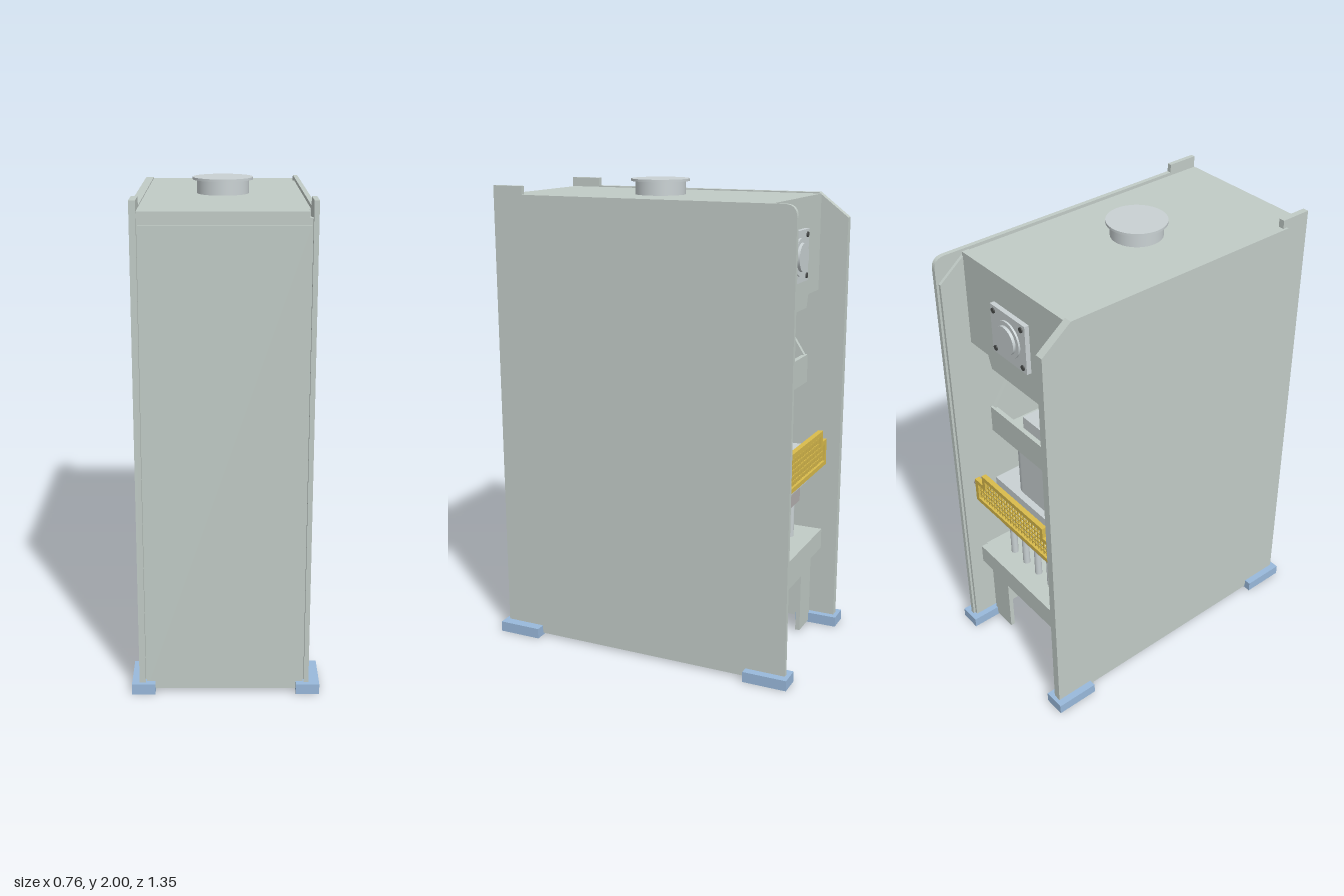
import * as THREE from 'three';

const mat = (color) => new THREE.MeshStandardMaterial({ color, side: THREE.DoubleSide });

export function createModel() {
  const press = new THREE.Group();
  press.name = 'stampingPress';
  const body = mat(0xc1cbc6), light = mat(0xc9d1d3), steel = mat(0xb4b0b0);
  const blue = mat(0x99b9db), yellow = mat(0xd9bb4c), dark = mat(0x4a4d4c);

  const add = (name, geo, m, x = 0, y = 0, z = 0) => {
    const mesh = new THREE.Mesh(geo, m);
    mesh.name = name;
    mesh.position.set(x, y, z);
    press.add(mesh);
    return mesh;
  };
  const box = (name, m, x0, x1, y0, y1, z0, z1) =>
    add(name, new THREE.BoxGeometry(x1 - x0, y1 - y0, z1 - z0), m, (x0 + x1) / 2, (y0 + y1) / 2, (z0 + z1) / 2);
  const cyl = (name, m, rTop, rBottom, y0, y1, x, z, n = 40) =>
    add(name, new THREE.CylinderGeometry(rTop, rBottom, y1 - y0, n), m, x, (y0 + y1) / 2, z);
  const outline = (pts) => new THREE.Shape(pts.map(([a, b]) => new THREE.Vector2(a, b)));
  const extrude = (shape, depth) => new THREE.ExtrudeGeometry(shape, { depth, bevelEnabled: false, curveSegments: 12 });
  // Sheet with a (z, y) outline, between two x positions
  const sideSheet = (name, m, shape, x0, x1) => add(name, extrude(shape, x1 - x0).rotateY(-Math.PI / 2), m, x1);

  // Left side plate with rounded rear corner and raised front tab
  const roundPlate = new THREE.Shape();
  roundPlate.moveTo(-0.66, 0.01);
  roundPlate.lineTo(0.655, 0.01);
  roundPlate.lineTo(0.655, 1.975);
  roundPlate.lineTo(0.52, 1.975);
  roundPlate.lineTo(0.52, 1.94);
  roundPlate.lineTo(-0.61, 1.94);
  roundPlate.quadraticCurveTo(-0.66, 1.94, -0.66, 1.89);
  sideSheet('leftSidePlate', body, roundPlate, 0.318, 0.337);
  const chamfered = (z1) => outline([[-0.65, 0.01], [z1, 0.01], [z1, 1.925], [-0.53, 1.925], [-0.65, 1.83]]);
  sideSheet('leftInnerPlate', body, chamfered(0.5), 0.305, 0.318);

  // Right side plate with chamfered rear corner and raised edging
  sideSheet('rightSidePlate', body, outline([[-0.66, 0.01], [0.655, 0.01], [0.655, 1.975], [0.52, 1.975],
    [0.52, 1.94], [-0.53, 1.94], [-0.66, 1.84]]), -0.345, -0.32);
  sideSheet('rightSideEdging', body, outline([[-0.66, 0.01], [-0.47, 0.01], [-0.47, 1.82], [0.54, 1.82],
    [0.54, 1.94], [-0.53, 1.94], [-0.66, 1.84]]), -0.354, -0.345);

  // Enclosure: front cover, trim, roof, corner posts
  box('frontCover', body, -0.315, 0.313, 0.012, 1.885, 0.625, 0.645);
  box('frontTrim', body, -0.32, 0.318, 1.885, 1.91, 0.61, 0.63);
  box('roof', body, -0.32, 0.305, 1.91, 1.935, -0.51, 0.645);
  for (const s of [-1, 1]) box('cornerPost', body, s * 0.314 - 0.012, s * 0.314 + 0.012, 0.012, 1.9, 0.51, 0.63);

  // Roof vent
  cyl('ventNeck', light, 0.105, 0.105, 1.93, 1.99, -0.007, 0.058);
  cyl('ventCap', light, 0.122, 0.122, 1.99, 2, -0.007, 0.058);

  // Blue feet: x and z centres
  for (const [x, z] of [[0.325, -0.583], [-0.338, -0.583], [0.333, 0.577], [-0.328, 0.577]])
    box('footPad', blue, x - 0.047, x + 0.047, 0, 0.045, z - 0.095, z + 0.095);

  // Head panel with stepped lower edge
  add('headPanel', extrude(outline([[-0.32, 1.53], [-0.185, 1.53], [-0.165, 1.475], [0.165, 1.475], [0.185, 1.53],
    [0.31, 1.53], [0.31, 1.935], [-0.32, 1.935]]), 0.03), body, 0, 0, -0.54);

  // Bearing flange with boss and bolts on the head panel
  box('bearingFlange', light, -0.11, 0.11, 1.6, 1.81, -0.56, -0.54);
  const boss = (name, m, r, z0, z1, x = 0, y = 1.705) =>
    add(name, new THREE.CylinderGeometry(r, r, z1 - z0, 32).rotateX(Math.PI / 2), m, x, y, (z0 + z1) / 2);
  boss('bearingRing', light, 0.076, -0.568, -0.56);
  boss('bearingBoss', light, 0.058, -0.58, -0.56);
  for (const sx of [-1, 1]) for (const sy of [-1, 1])
    boss('flangeBolt', dark, 0.011, -0.565, -0.56, sx * 0.088, 1.705 + sy * 0.083);

  // Slide: tray with sloping cheeks, ram body and hanging rod
  box('slideFront', body, -0.2, 0.2, 1.16, 1.27, -0.54, -0.52);
  box('slideBase', body, -0.2, 0.2, 1.15, 1.17, -0.54, -0.16);
  for (const x of [-0.2, 0.18])
    sideSheet('slideCheek', body, outline([[-0.53, 1.16], [-0.16, 1.16], [-0.16, 1.47], [-0.4, 1.47], [-0.53, 1.27]]), x, x + 0.02);
  box('slideBlock', light, -0.06, 0.06, 1.17, 1.27, -0.48, -0.38);
  const ram = new THREE.Shape();
  ram.absarc(0.08, 0.08, 0.06, 0, Math.PI / 2);
  ram.absarc(-0.08, 0.08, 0.06, Math.PI / 2, Math.PI);
  ram.absarc(-0.08, -0.08, 0.06, Math.PI, Math.PI * 1.5);
  ram.absarc(0.08, -0.08, 0.06, Math.PI * 1.5, Math.PI * 2);
  add('ram', extrude(ram, 0.3).rotateX(-Math.PI / 2), light, 0, 0.86, -0.35);
  cyl('connectingRod', yellow, 0.06, 0.06, 1.36, 1.7, -0.02, -0.3);
  cyl('connectingRodTip', yellow, 0.06, 0.045, 1.17, 1.36, -0.02, -0.3);
  box('slideGuide', body, 0.24, 0.305, 0.9, 1.9, -0.2, -0.1);
  box('slideGuide', body, -0.32, -0.24, 0.9, 1.9, -0.2, -0.1);

  // Die set: stacked plates standing on pins
  box('upperDiePlate', light, -0.24, 0.24, 0.82, 0.86, -0.52, -0.16);
  box('dieBlock', steel, -0.18, 0.18, 0.72, 0.82, -0.47, -0.2);
  box('lowerDiePlate', light, -0.24, 0.24, 0.69, 0.72, -0.54, -0.15);
  box('dieShoe', steel, -0.21, 0.21, 0.61, 0.69, -0.52, -0.16);
  for (let i = 0; i < 5; i++) for (const z of [-0.49, -0.19])
    cyl('diePin', light, 0.016, 0.016, 0.45, 0.61, -0.18 + i * 0.09, z, 16);

  // Work table with drop hole, front beam and arched legs
  const table = outline([[-0.32, -0.08], [0.305, -0.08], [0.305, 0.56], [-0.32, 0.56]]);
  const hole = new THREE.Path();
  hole.absarc(0, 0.1, 0.07, 0, Math.PI * 2, true);
  table.holes.push(hole);
  add('workTable', extrude(table, 0.08).rotateX(-Math.PI / 2), body, 0, 0.37, 0);
  box('tableBeam', body, -0.325, 0.3, 0.36, 0.45, -0.59, -0.56);
  add('tableLegs', extrude(outline([[-0.3, 0.01], [-0.17, 0.01], [-0.17, 0.27], [0.17, 0.27], [0.17, 0.01], [0.29, 0.01],
    [0.29, 0.37], [-0.3, 0.37]]), 0.02), body, 0, 0, -0.55);

  // Yellow safety guard: stepped frame with slats
  const guardPts = (d) => [[-0.28 + d, 0.77 + d], [0.262 - d, 0.77 + d], [0.262 - d, 0.885 - d], [0.205 - d, 0.885 - d],
    [0.205 - d, 0.935 - d], [-0.225 + d, 0.935 - d], [-0.225 + d, 0.885 - d], [-0.28 + d, 0.885 - d]];
  const guard = outline(guardPts(0));
  guard.holes.push(outline(guardPts(0.02)));
  add('guardFrame', extrude(guard, 0.022), yellow, 0, 0, -0.612);
  for (let i = 0; i < 5; i++) {
    const y = 0.805 + i * 0.024, half = y > 0.86 ? 0.2 : 0.255;
    box('guardSlat', yellow, -0.009 - half, -0.009 + half, y, y + 0.006, -0.604, -0.598);
  }
  for (let i = 0; i < 26; i++) {
    const x = -0.255 + i * 0.0196, top = x > -0.205 && x < 0.185 ? 0.92 : 0.87;
    box('guardBar', yellow, x - 0.003, x + 0.003, 0.78, top, -0.603, -0.597);
  }
  for (const s of [-1, 1])
    add('guardPivot', new THREE.CylinderGeometry(0.02, 0.02, 0.05, 20).rotateZ(Math.PI / 2), steel, -0.008 + s * 0.285, 0.83, -0.575);

  return press;
}
